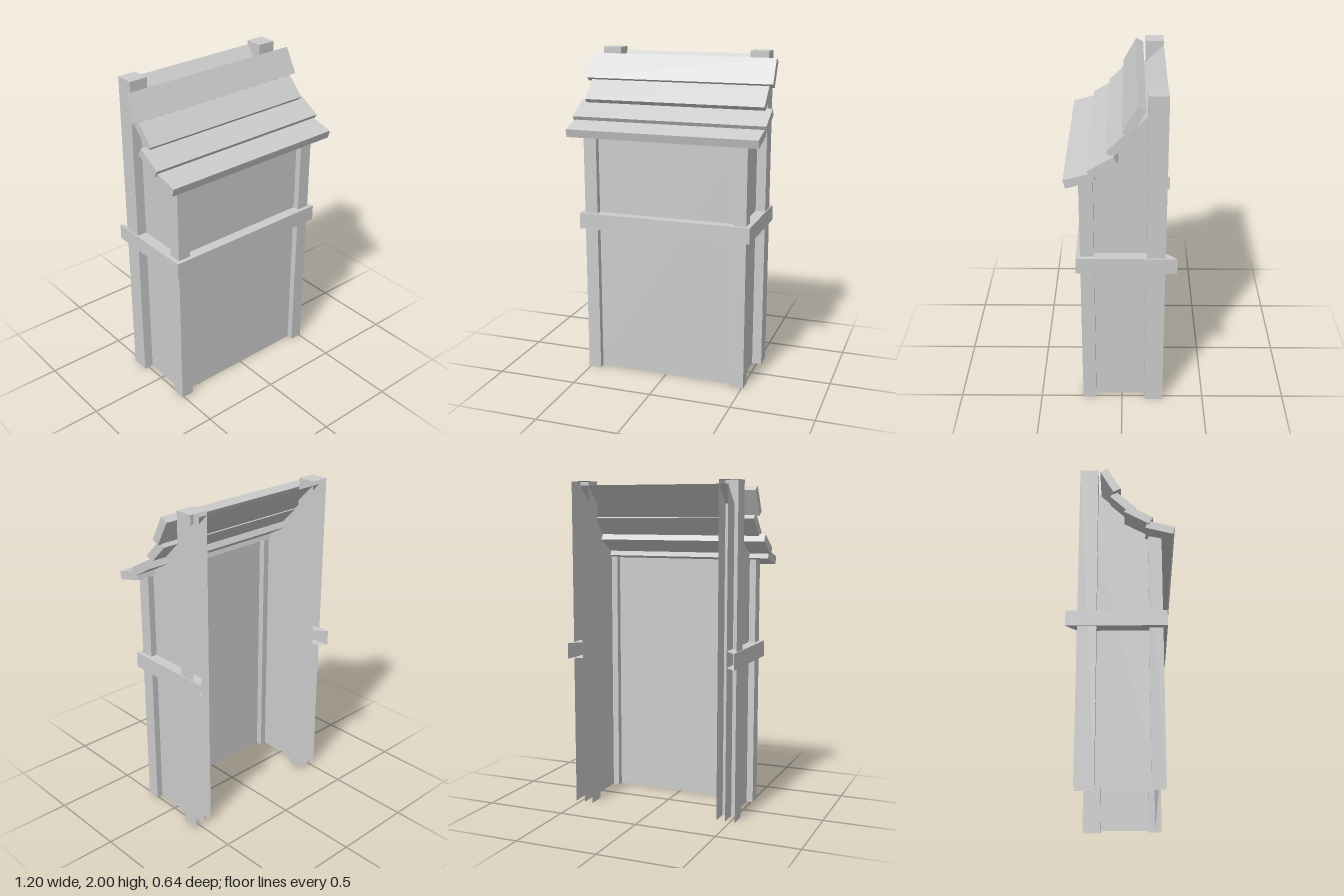
import * as THREE from 'three';

const material = new THREE.MeshStandardMaterial({ color: 0xcccccc, flatShading: true, side: THREE.DoubleSide });

// Thin sheet surfaces from flat convex polygons, each a list of [x, y, z] corners
function sheet(name, polygons) {
  const positions = [];
  for (const p of polygons) {
    for (let i = 1; i < p.length - 1; i++) positions.push(...p[0], ...p[i], ...p[i + 1]);
  }
  const geometry = new THREE.BufferGeometry();
  geometry.setAttribute('position', new THREE.Float32BufferAttribute(positions, 3));
  geometry.computeVertexNormals();
  const mesh = new THREE.Mesh(geometry, material);
  mesh.name = name;
  return mesh;
}

// Upright walls following a path of [x, z] points
function walls(path, y0, y1) {
  return path.slice(1).map(([x, z], i) => {
    const [px, pz] = path[i];
    return [[px, y0, pz], [x, y0, z], [x, y1, z], [px, y1, pz]];
  });
}

// Level strip between two matching [x, z] paths
function strip(inner, outer, y) {
  return inner.slice(1).map(([x, z], i) => [
    [inner[i][0], y, inner[i][1]], [outer[i][0], y, outer[i][1]],
    [outer[i + 1][0], y, outer[i + 1][1]], [x, y, z],
  ]);
}

export function createModel() {
  const model = new THREE.Group();
  const W = 0.47, front = 0.2, back = -0.25, eave = 1.525, ridge = 1.975, top = 2;

  // Front and sloping roof sheets
  model.add(sheet('frontPanel', walls([[-W, front], [W, front]], 0, eave)));
  model.add(sheet('roofSheet', [[[-W, eave, front], [W, eave, front], [W, ridge, back], [-W, ridge, back]]]));

  for (const s of [-1, 1]) {
    const side = s > 0 ? 'left' : 'right';

    model.add(sheet(side + 'SidePanel', [
      [[s * W, 0, front], [s * W, 0, back], [s * W, ridge, back], [s * W, eave, front]],
    ]));

    // Hollow corner post at the front
    const a = s * 0.43, b = s * 0.51;
    model.add(sheet(side + 'FrontPost',
      walls([[a, 0.16], [a, 0.24], [b, 0.24], [b, 0.16], [a, 0.16]], 0, 1.53)));

    // Tall channel at the back, open behind and below
    const c = s * 0.415, d = s * 0.53;
    model.add(sheet(side + 'BackPost', [
      ...walls([[c, back], [c, -0.14], [d, -0.14], [d, back]], 0, top),
      [[c, top, back], [c, top, -0.14], [d, top, -0.14], [d, top, back]],
    ]));
  }

  // Band around the front and sides, with mitred back ends
  const inner = [[-W, back], [-W, front], [W, front], [W, back]];
  const outer = [[-0.537, -0.317], [-0.537, 0.265], [0.537, 0.265], [0.537, -0.317]];
  model.add(sheet('middleBand', [
    ...walls(outer, 0.925, 1.022),
    ...strip(inner, outer, 1.022),
    ...strip(inner, outer, 0.925),
  ]));

  // Roof planks, steeper toward the ridge: width, y, z, tilt in degrees
  const planks = new THREE.Group();
  planks.name = 'roofPlanks';
  [
    [1.18, 1.543, 0.231, 15],
    [1.204, 1.625, 0.104, 30],
    [1.128, 1.74, 0.011, 45],
    [1.18, 1.881, -0.064, 61],
  ].forEach(([width, y, z, tilt], i) => {
    const plank = new THREE.Mesh(new THREE.BoxGeometry(width, 0.05, 0.167), material);
    plank.position.set(0, y, z);
    plank.rotation.x = THREE.MathUtils.degToRad(tilt);
    plank.name = 'roofPlank' + (i + 1);
    planks.add(plank);
  });
  model.add(planks);

  return model;
}
